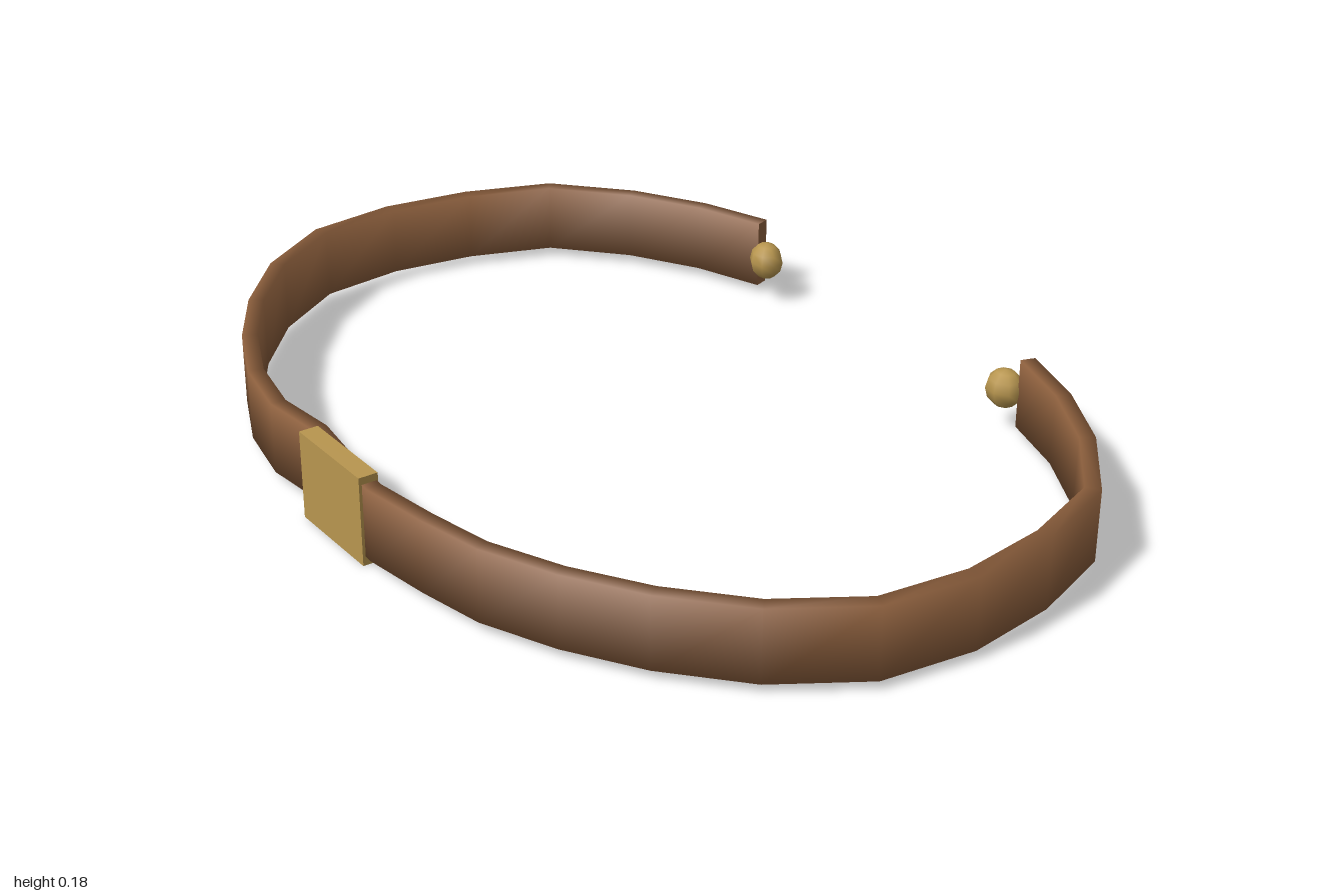
import * as THREE from 'three';

const brown = new THREE.MeshStandardMaterial({ color: 0x8b5e3c });
brown.name = 'brown leather';
const gold = new THREE.MeshStandardMaterial({ color: 0xb8964f });
gold.name = 'brass';

const MID = 0.094, HALF_HEIGHT = 0.075, HALF_THICK = 0.016;

// Centreline of one side, from the back opening to the front, as [x, z]
const side = [
  [0.43, -0.668], [0.585, -0.615], [0.74, -0.527], [0.888, -0.395], [0.955, -0.212],
  [0.983, -0.022], [0.96, 0.17], [0.855, 0.335], [0.715, 0.46], [0.57, 0.55], [0.42, 0.615],
];
// The front is slightly kinked behind the plate
const front = [[0.28, 0.643], [0.13, 0.664], [0, 0.65], [-0.13, 0.632], [-0.27, 0.645]];

// Sweeps a thin upright rectangle along the path, with softly rounded shading
function bandGeometry() {
  const path = [...side, ...front, ...side.map(([x, z]) => [-x, z]).reverse()]
    .map(([x, z]) => new THREE.Vector2(x, z));
  const last = path.length - 1;
  const pos = [], nor = [], index = [];
  const corners = [[1, -1], [1, 1], [-1, 1], [-1, -1]]; // outward, up

  path.forEach((p, i) => {
    const a = path[Math.max(i - 1, 0)], b = path[Math.min(i + 1, last)];
    const t = b.clone().sub(a).normalize();
    const out = new THREE.Vector2(t.y, -t.x); // points away from the centre
    for (const [o, u] of corners) {
      pos.push(p.x + out.x * o * HALF_THICK, MID + u * HALF_HEIGHT, p.y + out.y * o * HALF_THICK);
      const n = new THREE.Vector3(out.x * o, u * 0.9, out.y * o).normalize();
      nor.push(n.x, n.y, n.z);
    }
    if (i < last) {
      for (let k = 0; k < 4; k++) {
        const q = i * 4 + k, r = i * 4 + (k + 1) % 4;
        index.push(q, r, q + 4, r, r + 4, q + 4);
      }
    }
  });

  // Flat end caps
  for (const [ring, sign] of [[0, -1], [last, 1]]) {
    const t = path[ring ? last : 1].clone().sub(path[ring ? last - 1 : 0]).normalize();
    const base = pos.length / 3;
    for (let k = 0; k < 4; k++) {
      const j = (ring * 4 + k) * 3;
      pos.push(pos[j], pos[j + 1], pos[j + 2]);
      nor.push(t.x * sign, 0, t.y * sign);
    }
    if (sign < 0) index.push(base, base + 2, base + 1, base, base + 3, base + 2);
    else index.push(base, base + 1, base + 2, base, base + 2, base + 3);
  }

  const g = new THREE.BufferGeometry();
  g.setAttribute('position', new THREE.Float32BufferAttribute(pos, 3));
  g.setAttribute('normal', new THREE.Float32BufferAttribute(nor, 3));
  g.setIndex(orient(index, pos, nor));
  return g;
}

// Makes every triangle face the same way as its normals
function orient(index, pos, nor) {
  const v = (arr, i) => new THREE.Vector3().fromArray(arr, i * 3);
  for (let i = 0; i < index.length; i += 3) {
    const [a, b, c] = index.slice(i, i + 3);
    const face = v(pos, b).sub(v(pos, a)).cross(v(pos, c).sub(v(pos, a)));
    const want = v(nor, a).add(v(nor, b)).add(v(nor, c));
    if (face.dot(want) < 0) [index[i + 1], index[i + 2]] = [c, b];
  }
  return index;
}

export function createModel() {
  const group = new THREE.Group();
  group.name = 'cuffBracelet';
  const add = (name, geometry, material, x, y, z) => {
    const mesh = new THREE.Mesh(geometry, material);
    mesh.name = name;
    mesh.position.set(x, y, z);
    group.add(mesh);
    return mesh;
  };

  add('band', bandGeometry(), brown, 0, 0, 0);

  // Square plate on the front
  add('frontPlate', new THREE.BoxGeometry(0.224, 0.184, 0.04), gold, 0, 0.092, 0.664);

  // Round bead at each end of the opening
  for (const s of [1, -1]) {
    const bead = add(s > 0 ? 'leftBead' : 'rightBead',
      new THREE.SphereGeometry(0.042, 8, 6), gold, s * 0.39, MID, -0.649);
    bead.scale.z = 0.88;
    bead.rotation.y = s * 0.2;
  }
  return group;
}
